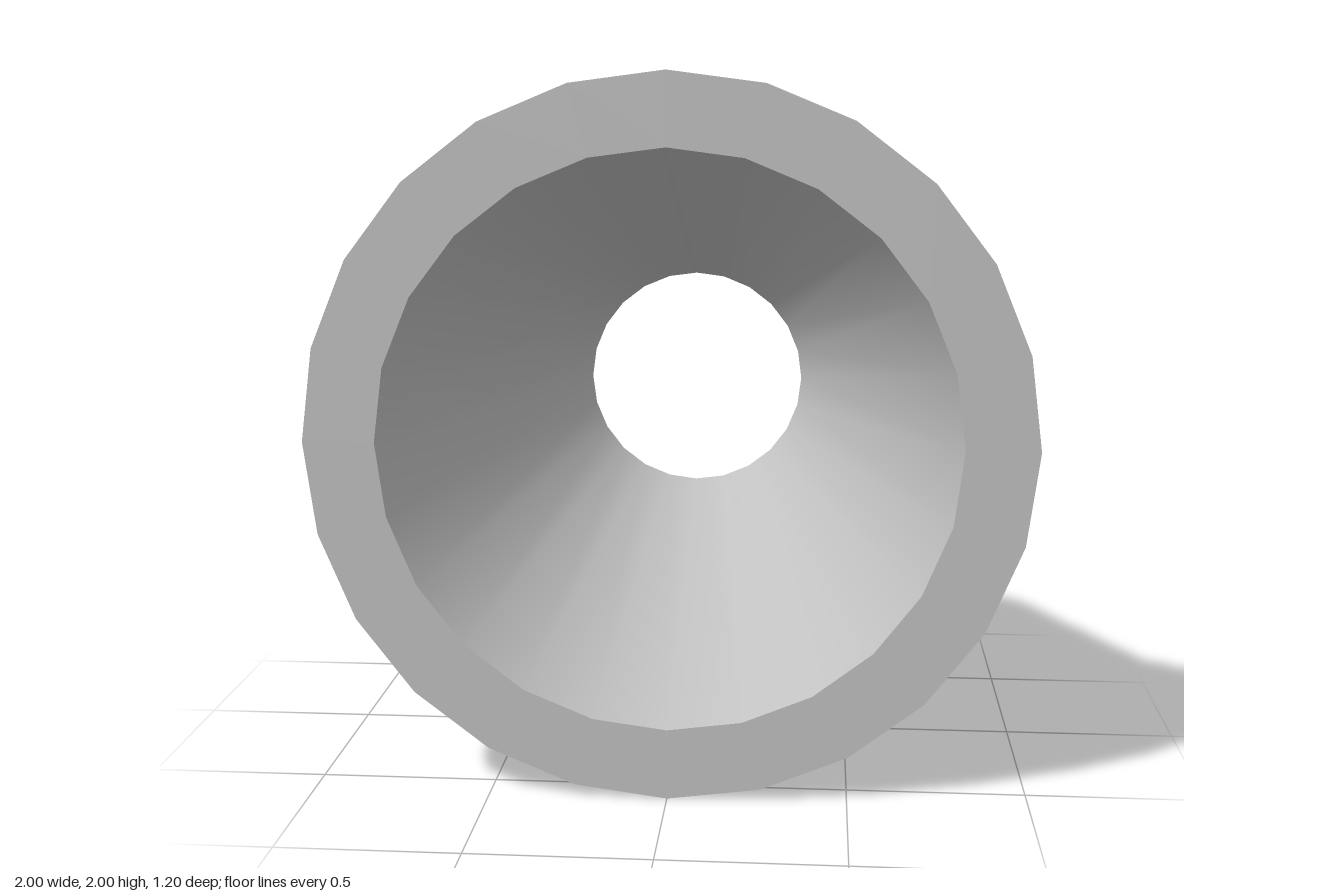
import * as THREE from 'three';

const SIDES = 24;

export function createModel() {
  const group = new THREE.Group();
  const grey = new THREE.MeshStandardMaterial({ color: 0xc0c0c0 });
  grey.name = 'light grey';

  // closed profile as [name, radius, z] corners; each span is its own lathe so edges stay sharp
  const corners = [
    ['backFace', 0.35, -0.6],
    ['outerCone', 0.55, -0.6],
    ['flangeShoulder', 0.925, 0.4],
    ['flangeRim', 1, 0.4],
    ['frontFace', 1, 0.6],
    ['taperedBore', 0.8, 0.6],
  ];

  corners.forEach(([name, radius, z], i) => {
    const [, nextRadius, nextZ] = corners[(i + 1) % corners.length];
    const span = [new THREE.Vector2(radius, z), new THREE.Vector2(nextRadius, nextZ)];
    const geometry = new THREE.LatheGeometry(span, SIDES);
    geometry.rotateX(Math.PI / 2); // lathe axis to +z
    geometry.translate(0, 1, 0);
    const mesh = new THREE.Mesh(geometry, grey);
    mesh.name = name;
    group.add(mesh);
  });

  group.name = 'flangedConeRing';
  return group;
}
